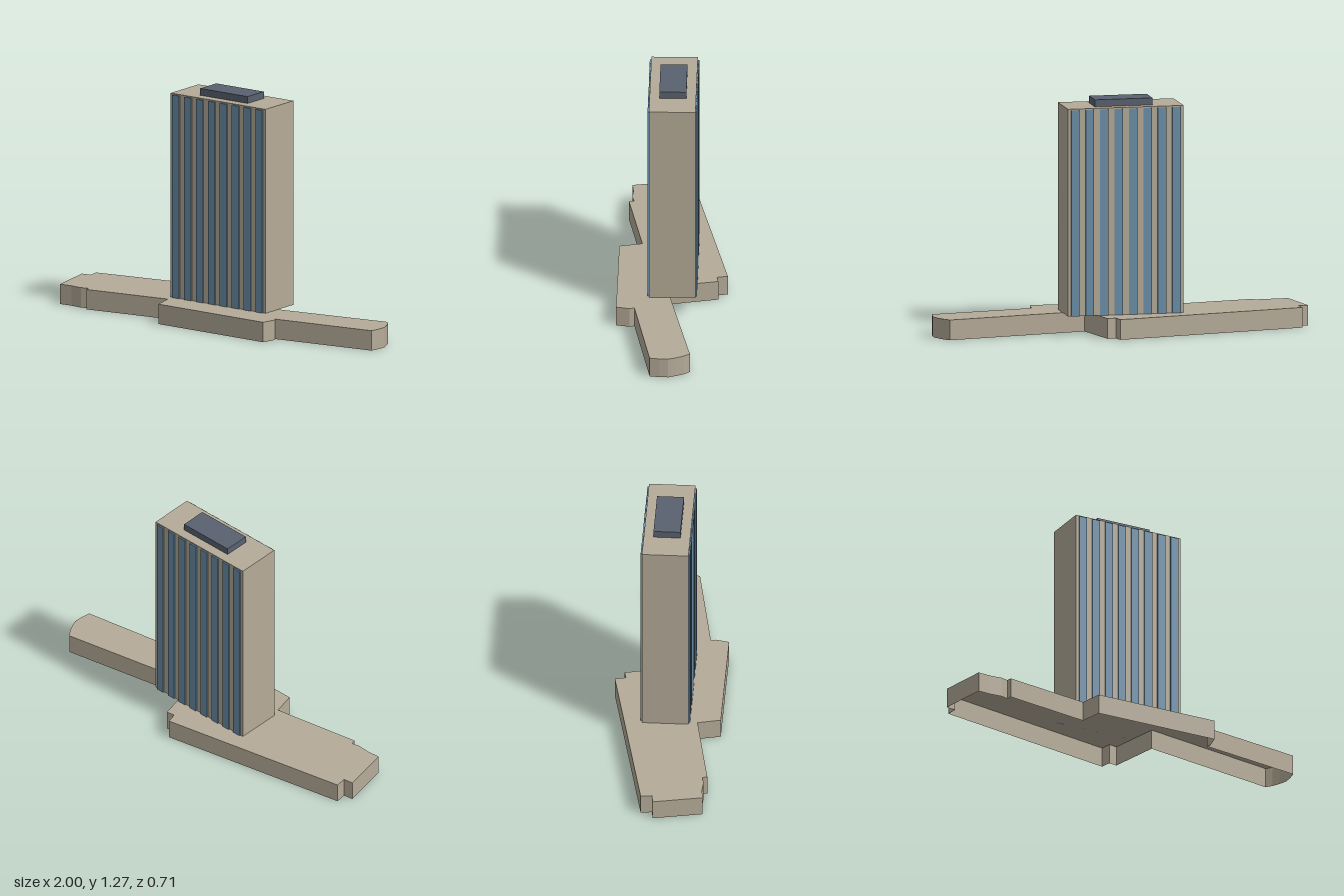
import * as THREE from 'three';
import { mergeGeometries } from 'three/addons/utils/BufferGeometryUtils.js';

const stone = new THREE.MeshStandardMaterial({ color: 0xb5ab98, side: THREE.DoubleSide });
const glass = new THREE.MeshStandardMaterial({ color: 0x6b8fa8 });
const slate = new THREE.MeshStandardMaterial({ color: 0x5a6270 });

const PODIUM_TOP = 0.11, TOWER_TOP = 1.237, ROOF_TOP = 1.275;
const WIDTH = 0.637, DEPTH = 0.25, BAYS = 8;

// Plan outline [x, z], running back, right, front, left
const podiumPlan = [
  [-0.93, -0.355], [0.135, -0.31], [0.135, -0.25], [0.182, -0.248], [0.182, 0.038],
  [0.965, 0.078], [0.983, 0.115], [0.994, 0.16], [1, 0.205], [0.988, 0.25], [0.967, 0.3],
  [0.385, 0.258], [0.388, 0.285], [0.355, 0.352], [-0.33, 0.187], [-0.33, 0.06],
  [-0.82, 0.028], [-0.82, 0], [-0.865, 0], [-0.93, -0.02], [-1, -0.03],
  [-0.99, -0.3], [-0.935, -0.295],
];

const towerPlan = [[-1, -1], [1, -1], [1, 1], [-1, 1]].map(([x, z]) => [x * WIDTH / 2, z * DEPTH / 2]);

// Shell with walls and a top, open underneath
function openBlock(plan, y0, y1) {
  const walls = [];
  plan.forEach(([ax, az], i) => {
    const [bx, bz] = plan[(i + 1) % plan.length];
    walls.push(bx, y0, bz, ax, y0, az, ax, y1, az);
    walls.push(bx, y0, bz, ax, y1, az, bx, y1, bz);
  });
  const side = new THREE.BufferGeometry();
  side.setAttribute('position', new THREE.Float32BufferAttribute(walls, 3));
  side.computeVertexNormals();

  const shape = new THREE.Shape(plan.map(([x, z]) => new THREE.Vector2(x, -z)));
  const top = new THREE.ShapeGeometry(shape).toNonIndexed();
  top.deleteAttribute('uv');
  top.rotateX(-Math.PI / 2).translate(0, y1, 0);
  return mergeGeometries([side, top]);
}

function addMesh(parent, name, geometry, material, x = 0, y = 0, z = 0) {
  const mesh = new THREE.Mesh(geometry, material);
  mesh.name = name;
  mesh.position.set(x, y, z);
  parent.add(mesh);
  return mesh;
}

export function createModel() {
  const model = new THREE.Group();
  model.name = 'towerBuilding';

  addMesh(model, 'podium', openBlock(podiumPlan, 0, PODIUM_TOP), stone);

  // Tower, turned on the podium
  const tower = new THREE.Group();
  tower.name = 'tower';
  tower.position.set(0.003, 0, -0.039);
  tower.rotation.y = -0.233;
  model.add(tower);
  addMesh(tower, 'towerBody', openBlock(towerPlan, PODIUM_TOP, TOWER_TOP), stone);

  // Vertical window strips on both long faces
  const pitch = WIDTH / BAYS;
  const stripHeight = 1.23 - PODIUM_TOP;
  const strip = new THREE.BoxGeometry(pitch * 0.58, stripHeight, 0.016);
  for (const face of [1, -1]) {
    for (let i = 0; i < BAYS; i++) {
      addMesh(tower, face > 0 ? 'frontWindowStrip' : 'backWindowStrip', strip, glass,
        (i + 0.5) * pitch - WIDTH / 2, PODIUM_TOP + stripHeight / 2, face * DEPTH / 2);
    }
  }

  // Plant room on the roof
  const roofHeight = ROOF_TOP - TOWER_TOP;
  addMesh(tower, 'roofPlantRoom', new THREE.BoxGeometry(0.318, roofHeight, 0.145), slate,
    0, TOWER_TOP + roofHeight / 2, 0);

  return model;
}
